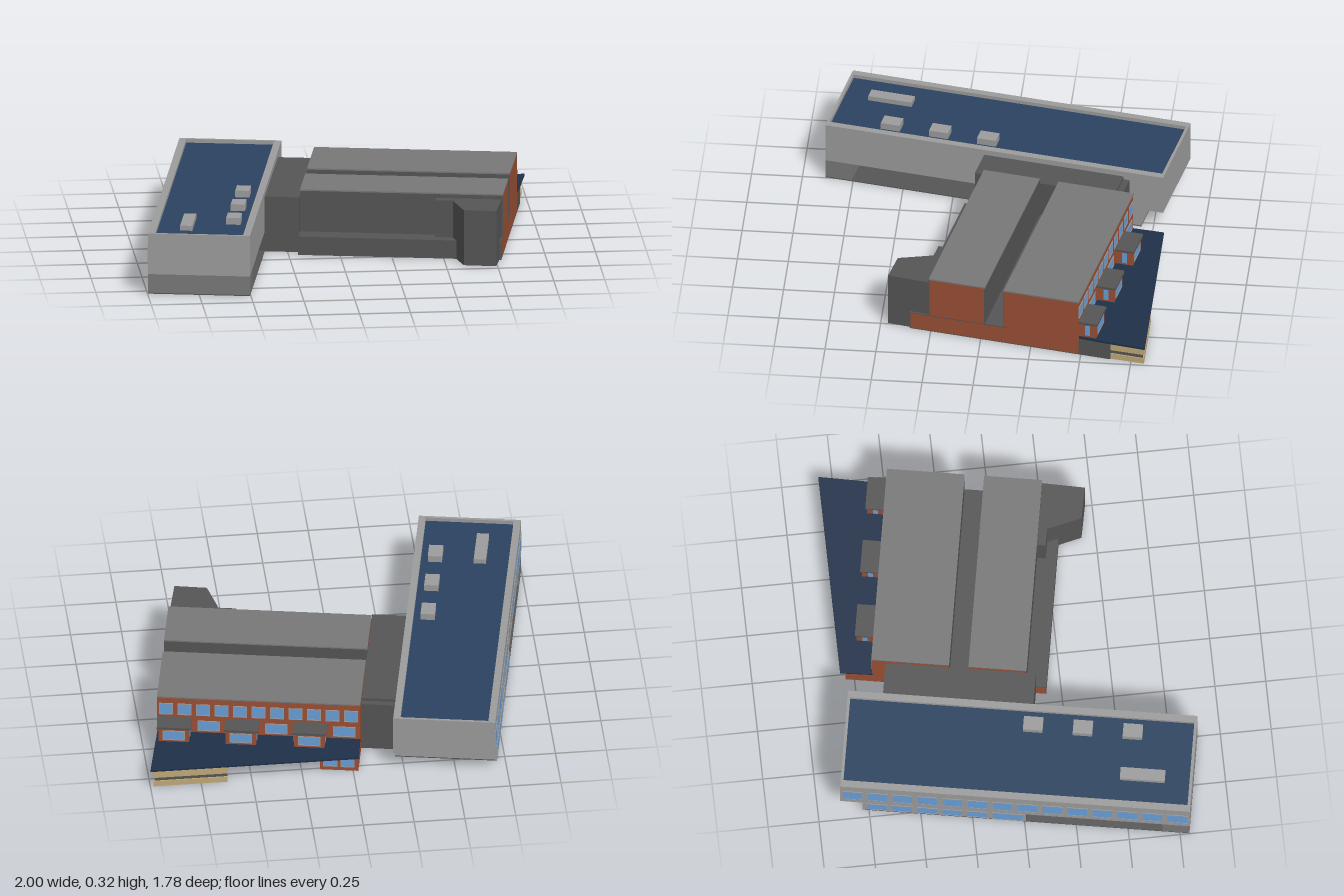
import * as THREE from 'three';

const mat = (color) => new THREE.MeshStandardMaterial({ color });
const LIGHT = mat(0x9c9c9c), MID = mat(0x787878), DARK = mat(0x555555);
const BRICK = mat(0x9a5035), NAVY = mat(0x2b4260), CANOPY = mat(0x1f3049);
const GLASS = mat(0x689fd8), TAN = mat(0xbfa877);

// Box given by its extents along each axis
function box(parent, name, m, [x0, x1], [y0, y1], [z0, z1]) {
  const mesh = new THREE.Mesh(new THREE.BoxGeometry(x1 - x0, y1 - y0, z1 - z0), m);
  mesh.position.set((x0 + x1) / 2, (y0 + y1) / 2, (z0 + z1) / 2);
  mesh.name = name;
  parent.add(mesh);
  return mesh;
}

// Upright prism over a plan outline of [x, z] points, with optional hole
function prism(parent, name, m, outline, y0, y1, hole) {
  const toVec = ([x, z]) => new THREE.Vector2(x, -z);
  const shape = new THREE.Shape(outline.map(toVec));
  if (hole) shape.holes.push(new THREE.Path(hole.map(toVec).reverse()));
  const geo = new THREE.ExtrudeGeometry(shape, { depth: y1 - y0, bevelEnabled: false });
  geo.rotateX(-Math.PI / 2);
  const mesh = new THREE.Mesh(geo, m);
  mesh.position.y = y0;
  mesh.name = name;
  parent.add(mesh);
  return mesh;
}

const rect = (x0, x1, z0, z1) => [[x0, z0], [x1, z0], [x1, z1], [x0, z1]];

// Framed window facing the negative side of the given axis
function framedWindow(parent, axis, at, [a0, a1], [y0, y1]) {
  const put = (name, m, a, b, c, d, t) => axis === 'x'
    ? box(parent, name, m, [at - t, at + 0.002], [c, d], [a, b])
    : box(parent, name, m, [a, b], [c, d], [at - t, at + 0.002]);
  const f = 0.005;
  put('windowPane', GLASS, a0, a1, y0, y1, 0.0015);
  put('windowSill', LIGHT, a0 - f, a1 + f, y0 - f, y0, 0.003);
  put('windowHead', LIGHT, a0 - f, a1 + f, y1, y1 + f, 0.003);
  put('windowJamb', LIGHT, a0 - f, a0, y0, y1, 0.003);
  put('windowJamb', LIGHT, a1, a1 + f, y0, y1, 0.003);
}

function buildWing() {
  const g = new THREE.Group();
  g.name = 'longWing';
  const X = [-0.838, -0.337];
  box(g, 'wingFloorPlate', DARK, X, [0, 0.005], [-0.64, 0.963]);
  box(g, 'wingLowerStorey', LIGHT, X, [0.005, 0.1], [-0.64, 0.16]);
  box(g, 'wingLowerEndWall', DARK, X, [0.005, 0.1], [0.16, 0.163]);
  box(g, 'wingEndPier', MID, X, [0.005, 0.1], [0.83, 0.963]);
  box(g, 'wingUpperStorey', LIGHT, X, [0.1, 0.283], [-0.751, 0.965]);
  prism(g, 'wingParapet', LIGHT, rect(X[0], X[1], -0.751, 0.965), 0.283, 0.306,
    rect(-0.803, -0.372, -0.737, 0.951));
  box(g, 'wingRoof', NAVY, [-0.803, -0.372], [0.283, 0.287], [-0.737, 0.951]);

  // Roof equipment
  for (const z of [0.166, 0.41, 0.655]) {
    box(g, 'roofUnit', LIGHT, [-0.477, -0.407], [0.287, 0.321], [z - 0.048, z + 0.048]);
  }
  box(g, 'longRoofUnit', LIGHT, [-0.692, -0.632], [0.287, 0.312], [0.61, 0.83]);

  // Window rows on the outer long side
  const step = 1.716 / 14;
  for (let i = 0; i < 14; i++) {
    const z = -0.751 + step * i;
    framedWindow(g, 'x', X[0], [z + 0.014, z + step - 0.014], [0.145, 0.24]);
  }
  for (let i = 0; i < 5; i++) {
    const z = -0.63 + step * i;
    framedWindow(g, 'x', X[0], [z + 0.014, z + step - 0.014], [0.022, 0.088]);
  }
  framedWindow(g, 'x', X[0], [0.0, 0.145], [0.012, 0.092]);
  return g;
}

function buildHall() {
  const g = new THREE.Group();
  g.name = 'mainHall';
  const X = [-0.168, 0.829];
  // Base storey with front ledge
  box(g, 'hallFloorPlate', DARK, X, [0, 0.004], [-0.7, 0.208]);
  box(g, 'hallBase', BRICK, X, [0.004, 0.088], [-0.65, 0.205]);
  box(g, 'baseFrontCladding', DARK, X, [0.004, 0.088], [0.205, 0.209]);
  box(g, 'baseLedge', DARK, X, [0.088, 0.093], [-0.29, 0.209]);

  // Two bays split by a deep slot
  for (const [z0, z1] of [[-0.173, 0.112], [-0.65, -0.268]]) {
    box(g, 'bayWalls', BRICK, X, [0.088, 0.299], [z0 + 0.003, z1 - 0.003]);
    box(g, 'bayRoof', MID, X, [0.299, 0.306], [z0, z1]);
    box(g, 'bayFrontCladding', DARK, X, [0.093, 0.299], [z1 - 0.003, z1]);
  }
  box(g, 'slotCladding', DARK, X, [0.093, 0.299], [-0.173, -0.17]);

  // Tapering corner block at the front
  prism(g, 'cornerBlock', DARK, [[0.585, 0.112], [0.588, 0.16], [0.655, 0.318],
    [0.815, 0.322], [0.822, 0.112]], 0, 0.28);
  box(g, 'cornerReturn', DARK, [0.5, 0.6], [0.09, 0.28], [0.107, 0.155]);

  // Back windows, upper row
  const n = 11, step = 0.997 / n;
  for (let i = 0; i < n; i++) {
    const x = X[0] + step * i;
    framedWindow(g, 'z', -0.647, [x + 0.016, x + step - 0.016], [0.205, 0.262]);
  }

  // Lower storey pushed out under the canopy
  box(g, 'lowerCornerRoom', BRICK, [-0.168, 0.02], [0, 0.09], [-0.775, -0.65]);
  box(g, 'lowerBackWall', BRICK, [0.02, 0.61], [0.004, 0.09], [-0.7, -0.65]);
  for (const x of [-0.145, -0.06]) framedWindow(g, 'z', -0.775, [x, x + 0.06], [0.025, 0.075]);
  for (let i = 0; i < 5; i++) {
    const x = 0.045 + 0.112 * i;
    framedWindow(g, 'z', -0.7, [x, x + 0.075], [0.025, 0.078]);
  }

  // Projecting boxes above the canopy
  for (const x of [0.076, 0.411, 0.74]) {
    const b = new THREE.Group();
    b.name = 'projectingBay';
    box(b, 'bayBox', BRICK, [x - 0.075, x + 0.075], [0.09, 0.175], [-0.735, -0.64]);
    box(b, 'bayCap', DARK, [x - 0.083, x + 0.083], [0.175, 0.187], [-0.743, -0.645]);
    framedWindow(b, 'z', -0.735, [x - 0.05, x + 0.05], [0.115, 0.16]);
    for (const s of [-1, 1]) {
      box(b, 'sidePane', GLASS, [x + s * 0.076 - 0.002, x + s * 0.076 + 0.002],
        [0.11, 0.165], [-0.705, -0.68]);
    }
    g.add(b);
  }
  // Windows between the projecting boxes
  for (const x of [-0.09, 0.243, 0.575]) {
    framedWindow(g, 'z', -0.647, [x - 0.05, x + 0.05], [0.115, 0.165]);
  }
  // Room under the canopy
  box(g, 'backRoom', DARK, [0.6, 0.829], [0, 0.09], [-0.81, -0.65]);
  return g;
}

export function createModel() {
  const model = new THREE.Group();
  model.name = 'schoolBuilding';

  // Wing, link and hall share one turned grid
  const turned = new THREE.Group();
  turned.name = 'turnedBlocks';
  turned.rotation.y = -0.1815;
  turned.add(buildWing(), buildHall());
  box(turned, 'link', DARK, [-0.337, -0.168], [0, 0.278], [-0.55, 0.158]);
  box(turned, 'linkBackStep', DARK, [-0.337, -0.168], [0, 0.262], [-0.58, -0.55]);
  model.add(turned);

  // Wedge-shaped canopy along the back
  prism(model, 'backCanopy', CANOPY, [[-0.025, -0.82], [1, -0.82], [0.965, -0.65],
    [0.93, -0.49], [-0.05, -0.66]], 0.09, 0.1);

  // Banded corner room under the canopy
  const plan = (d) => [[0.62, -0.815 + d], [0.985 - d, -0.815 + d], [0.955 - d, -0.645], [0.65, -0.68]];
  prism(model, 'bandedRoomBottom', TAN, plan(0), 0, 0.03);
  prism(model, 'bandedRoomStrip', DARK, plan(0.006), 0.03, 0.05);
  prism(model, 'bandedRoomTop', TAN, plan(0), 0.05, 0.085);
  prism(model, 'bandedRoomCap', DARK, plan(0.006), 0.085, 0.09);
  return model;
}
